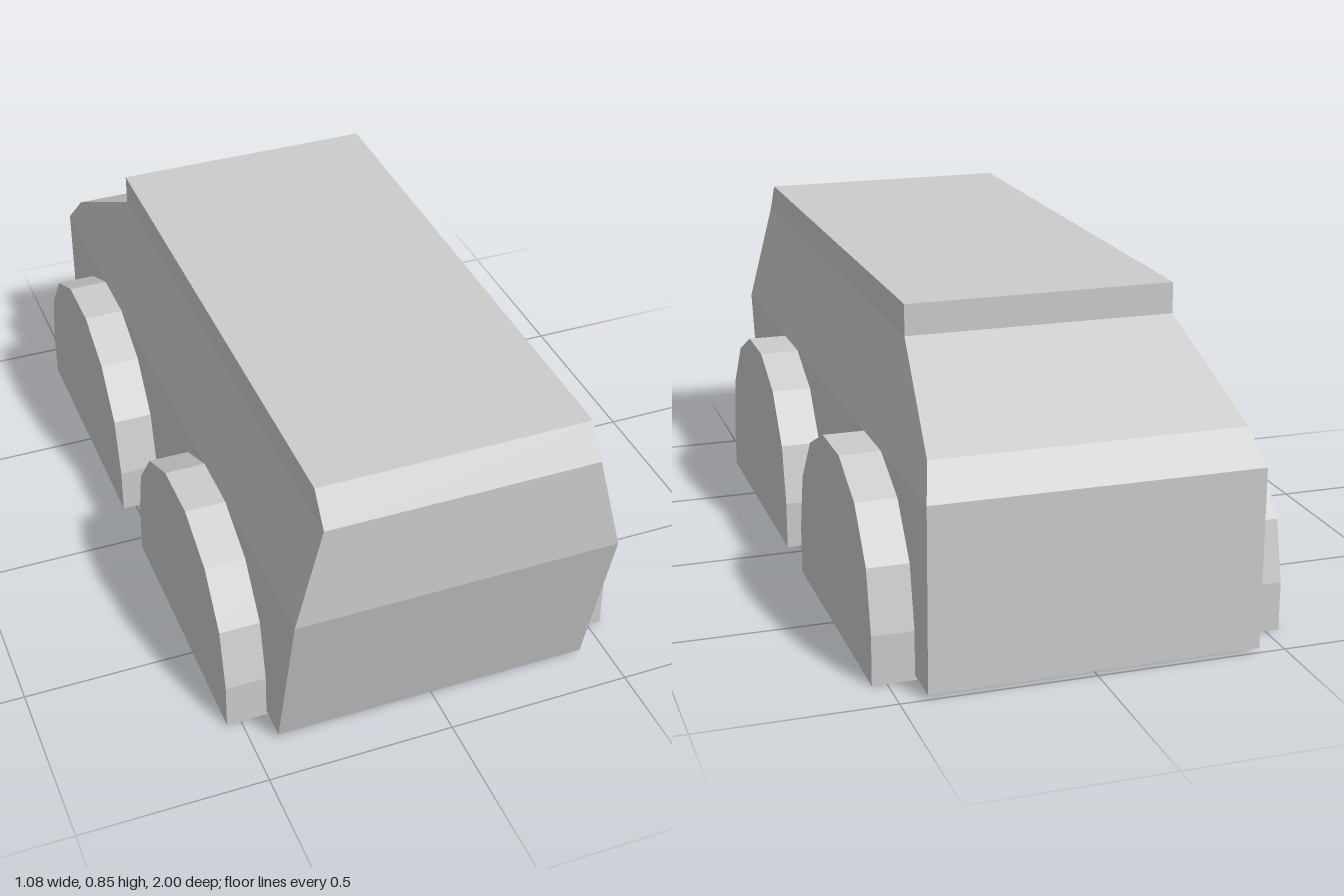
import * as THREE from 'three';

const material = new THREE.MeshStandardMaterial({
  color: 0xcccccc, flatShading: true, side: THREE.DoubleSide,
});

// Half width of the body at height y: upright, tapering in, upright again
function halfWidth(y) {
  const t = THREE.MathUtils.clamp((y - 0.49) / 0.28, 0, 1);
  return 0.43 - 0.073 * t;
}

function makeMesh(geometry, name) {
  geometry.computeVertexNormals();
  const mesh = new THREE.Mesh(geometry, material);
  mesh.name = name;
  return mesh;
}

// Band of quads following a [z, y] profile from front to back; spanAt(y) gives [xMin, xMax]
function ribbon(profile, spanAt, name) {
  const positions = [];
  for (let i = 0; i < profile.length - 1; i++) {
    const [za, ya] = profile[i], [zb, yb] = profile[i + 1];
    const [a0, a1] = spanAt(ya), [b0, b1] = spanAt(yb);
    positions.push(a0, ya, za, a1, ya, za, b1, yb, zb);
    positions.push(a0, ya, za, b1, yb, zb, b0, yb, zb);
  }
  const geometry = new THREE.BufferGeometry();
  geometry.setAttribute('position', new THREE.Float32BufferAttribute(positions, 3));
  return makeMesh(geometry, name);
}

// Flat wall from a [z, y] outline, set at x = side * xAt(y) and facing outwards
function wall(outline, side, xAt, name) {
  const shape = new THREE.Shape(outline.map(([z, y]) => new THREE.Vector2(z, y)));
  const geometry = new THREE.ShapeGeometry(shape);
  const p = geometry.attributes.position;
  for (let i = 0; i < p.count; i++) {
    const z = p.getX(i), y = p.getY(i);
    p.setXYZ(i, side * xAt(y), y, z);
  }
  if (side > 0) geometry.setIndex(Array.from(geometry.index.array).reverse());
  return makeMesh(geometry.toNonIndexed(), name);
}

function createBody() {
  const body = new THREE.Group();
  body.name = 'body';

  // Front, roof, step, sloping rear and tail; the underside is open
  const profile = [
    [0.875, 0.013], [1, 0.49], [1, 0.77], [0.94, 0.852], [-0.565, 0.852],
    [-0.565, 0.77], [-0.93, 0.575], [-1, 0.49], [-1, 0.013],
  ];
  body.add(ribbon(profile, (y) => [-halfWidth(y), halfWidth(y)], 'bodyShell'));

  // Each side in three flat bands
  const bands = {
    lowerSide: [0, 1, 7, 8],
    taperedSide: [1, 2, 5, 6, 7],
    roofSide: [2, 3, 4, 5],
  };
  for (const side of [-1, 1]) {
    for (const [name, ids] of Object.entries(bands)) {
      body.add(wall(ids.map((i) => profile[i]), side, halfWidth, name));
    }
  }
  return body;
}

// Hollow half-round wheel cover, open underneath and towards the body
function createWheelCover(side, centreZ, name) {
  const cover = new THREE.Group();
  cover.name = name;
  const half = [[0.372, 0], [0.372, 0.13], [0.335, 0.29], [0.232, 0.42], [0.083, 0.49]];
  const arch = [...half, ...half.map(([z, y]) => [-z, y]).reverse()]
    .map(([z, y]) => [z + centreZ, y]);
  const span = side > 0 ? [0.325, 0.538] : [-0.538, -0.325];
  cover.add(ribbon(arch, () => span, 'wheelTread'));
  cover.add(wall(arch, side, () => 0.538, 'wheelFace'));
  return cover;
}

export function createModel() {
  const model = new THREE.Group();
  model.name = 'van';
  model.add(createBody());
  for (const side of [-1, 1]) {
    const label = side > 0 ? 'Left' : 'Right';
    model.add(createWheelCover(side, 0.413, `front${label}Wheel`));
    model.add(createWheelCover(side, -0.516, `rear${label}Wheel`));
  }
  return model;
}
